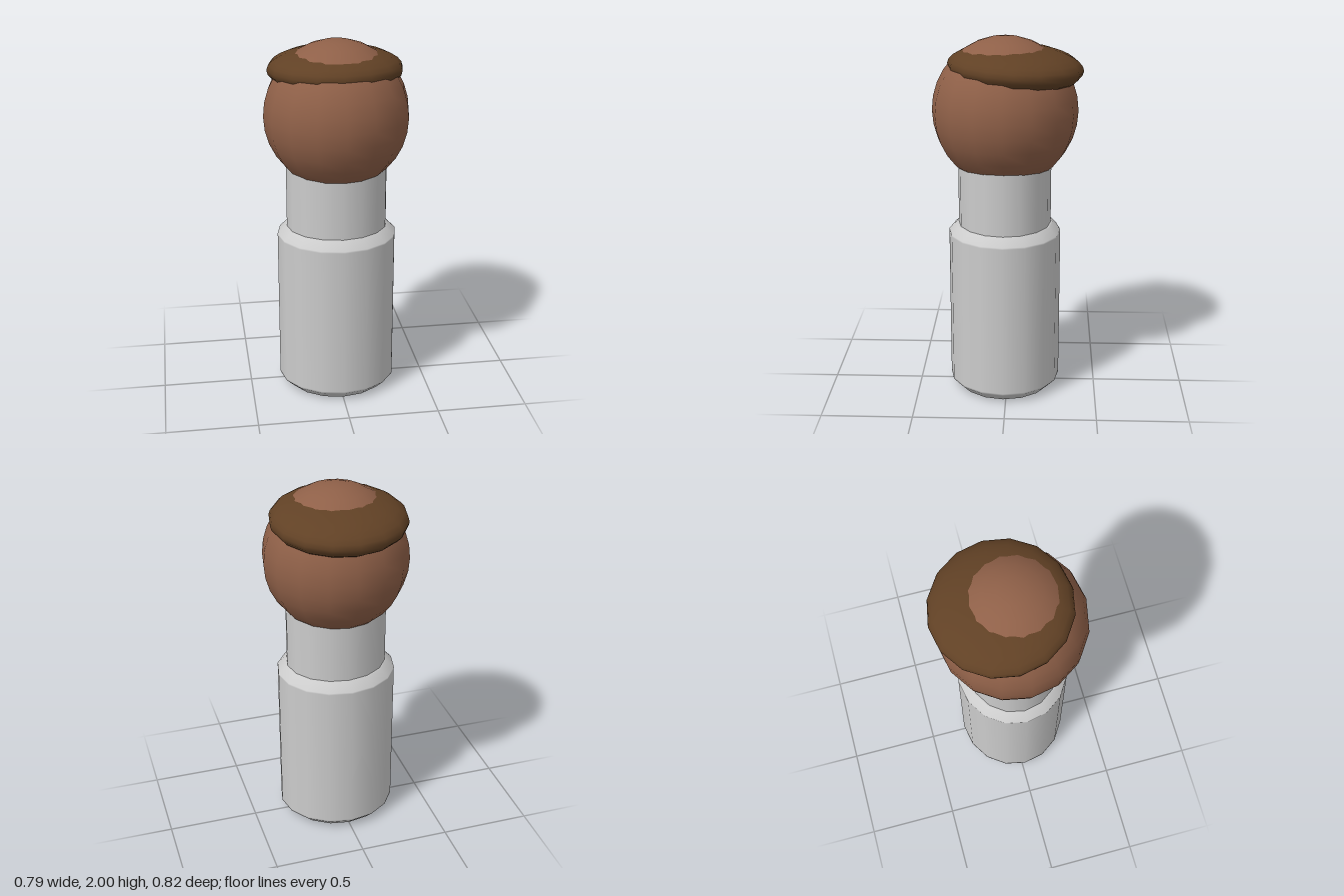
import * as THREE from 'three';

const SIDES = 16;

export function createModel() {
  const model = new THREE.Group();
  const grey = new THREE.MeshStandardMaterial({ color: 0xcccccc });
  const skin = new THREE.MeshStandardMaterial({ color: 0x8f6048 });
  const hairBrown = new THREE.MeshStandardMaterial({ color: 0x614125 });

  function add(name, geometry, material, y, z) {
    const mesh = new THREE.Mesh(geometry, material);
    mesh.name = name;
    mesh.position.set(0, y, z);
    model.add(mesh);
    return mesh;
  }

  // Slightly oval turned solid from [radius, height] pairs
  function turned(points, depthRatio) {
    const profile = points.map(([r, y]) => new THREE.Vector2(r, y));
    return new THREE.LatheGeometry(profile, SIDES).scale(1, 1, depthRatio);
  }

  // Body with bevelled rims; close pairs of points keep the wall shading straight
  add('body', turned([
    [0, 0], [0.27, 0], [0.28, 0.003], [0.33, 0.05], [0.33, 0.06],
    [0.33, 0.91], [0.33, 0.92], [0.285, 0.963], [0.275, 0.966], [0, 0.966],
  ], 0.94), grey, 0, 0.015);

  // Neck running up into the head
  add('neck', turned([[0.278, 0.94], [0.278, 1.34]], 0.92), grey, 0, 0.015);

  // Head
  add('head', new THREE.SphereGeometry(1, SIDES, 16).scale(0.395, 0.405, 0.397), skin, 1.595, 0.013);

  // Ring of hair: a flattened, tilted ball with the crown showing through
  const hair = add('hair', new THREE.SphereGeometry(1, SIDES, 16).scale(0.367, 0.125, 0.367), hairBrown, 1.832, -0.043);
  hair.rotation.x = -0.058;

  // Thin strands at the temples
  for (const side of [-1, 1]) {
    const start = new THREE.Vector3(side * 0.235, 1.851, 0.213);
    const end = new THREE.Vector3(side * 0.137, 1.851, 0.275);
    const along = end.clone().sub(start);
    const strand = add(side > 0 ? 'leftStrand' : 'rightStrand',
      new THREE.CapsuleGeometry(0.011, along.length(), 3, 8), hairBrown, 0, 0);
    strand.position.copy(start).add(end).multiplyScalar(0.5);
    strand.quaternion.setFromUnitVectors(new THREE.Vector3(0, 1, 0), along.normalize());
  }

  return model;
}
